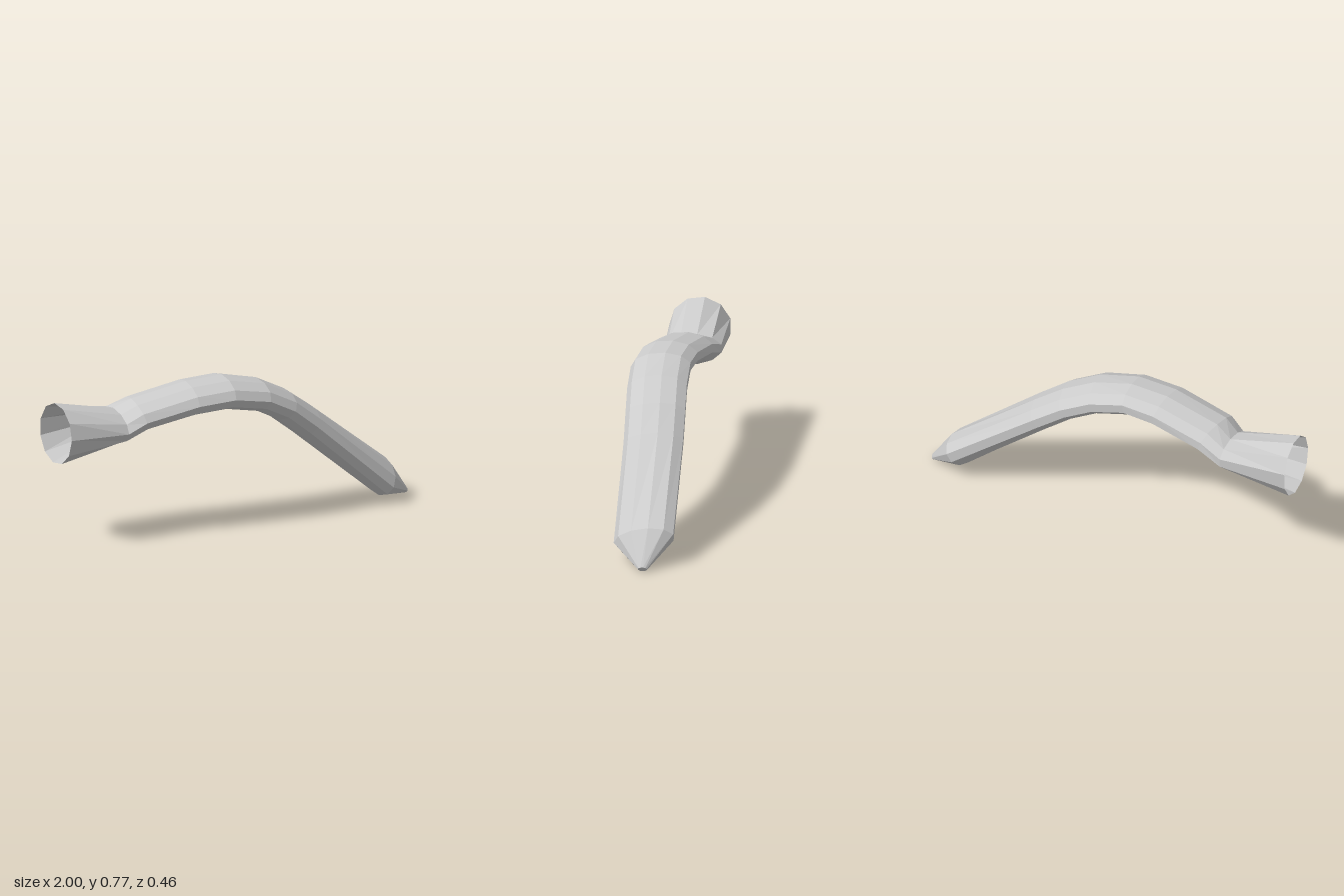
import * as THREE from 'three';

const SIDES = 11;

// Cross-sections from the flared mouth to the tip:
// centre x, y, z, then the upward half-axis (x, y), then the sideways half-axis (x, y, z)
const RINGS = [
  [-0.995, 0.58, -0.08, 0.004, 0.155, -0.007, 0, 0.156],
  [-0.65, 0.578, -0.065, 0, 0.079, -0.015, -0.015, 0.15],
  [-0.545, 0.628, -0.028, -0.024, 0.074, -0.035, -0.012, 0.15],
  [-0.275, 0.683, 0.03, -0.006, 0.079, -0.03, -0.01, 0.153],
  [-0.09, 0.692, 0.055, 0.01, 0.079, -0.015, -0.01, 0.154],
  [0.1, 0.65, 0.06, 0.022, 0.076, 0, -0.008, 0.153],
  [0.25, 0.575, 0.058, 0.041, 0.067, 0, -0.008, 0.153],
  [0.39, 0.472, 0.058, 0.05, 0.064, -0.005, -0.01, 0.153],
  [0.84, 0.112, 0.077, 0.045, 0.078, -0.018, -0.025, 0.154],
  [0.991, 0.012, 0.075, 0.007, 0.012, 0, 0, 0.023],
];

function ringPoints([x, y, z, ux, uy, sx, sy, sz]) {
  return Array.from({ length: SIDES }, (_, j) => {
    const a = (j / SIDES) * Math.PI * 2;
    const c = Math.cos(a), s = Math.sin(a);
    return [x + sx * c + ux * s, y + sy * c + uy * s, z + sz * c];
  });
}

// Skin between neighbouring rings
function loft(rings) {
  const pos = [];
  for (let i = 0; i < rings.length - 1; i++) {
    for (let j = 0; j < SIDES; j++) {
      const k = (j + 1) % SIDES;
      const a = rings[i][j], b = rings[i][k], c = rings[i + 1][j], d = rings[i + 1][k];
      pos.push(...a, ...c, ...b, ...b, ...c, ...d);
    }
  }
  return toGeometry(pos);
}

function cap(ring) {
  const pos = [];
  for (let j = 1; j < SIDES - 1; j++) pos.push(...ring[0], ...ring[j], ...ring[j + 1]);
  // the ring turns clockwise seen from the tip, so reverse it to face outward
  for (let i = 0; i < pos.length; i += 9) {
    const b = pos.slice(i + 3, i + 6);
    pos.splice(i + 3, 6, ...pos.slice(i + 6, i + 9), ...b);
  }
  return toGeometry(pos);
}

function toGeometry(pos) {
  const g = new THREE.BufferGeometry();
  g.setAttribute('position', new THREE.Float32BufferAttribute(pos, 3));
  g.computeVertexNormals();
  return g;
}

export function createModel() {
  const group = new THREE.Group();
  group.name = 'curvedTube';
  const material = new THREE.MeshStandardMaterial({
    color: 0xcccccc, flatShading: true, side: THREE.DoubleSide,
  });
  const rings = RINGS.map(ringPoints);
  const add = (name, geometry) => {
    const mesh = new THREE.Mesh(geometry, material);
    mesh.name = name;
    group.add(mesh);
  };

  add('flaredMouth', loft(rings.slice(0, 2))); // open funnel
  add('curvedBody', loft(rings.slice(1, 9)));  // flattened, arched tube
  add('taperedEnd', loft(rings.slice(8)));     // blunt point
  add('tipCap', cap(rings[9]));
  return group;
}
